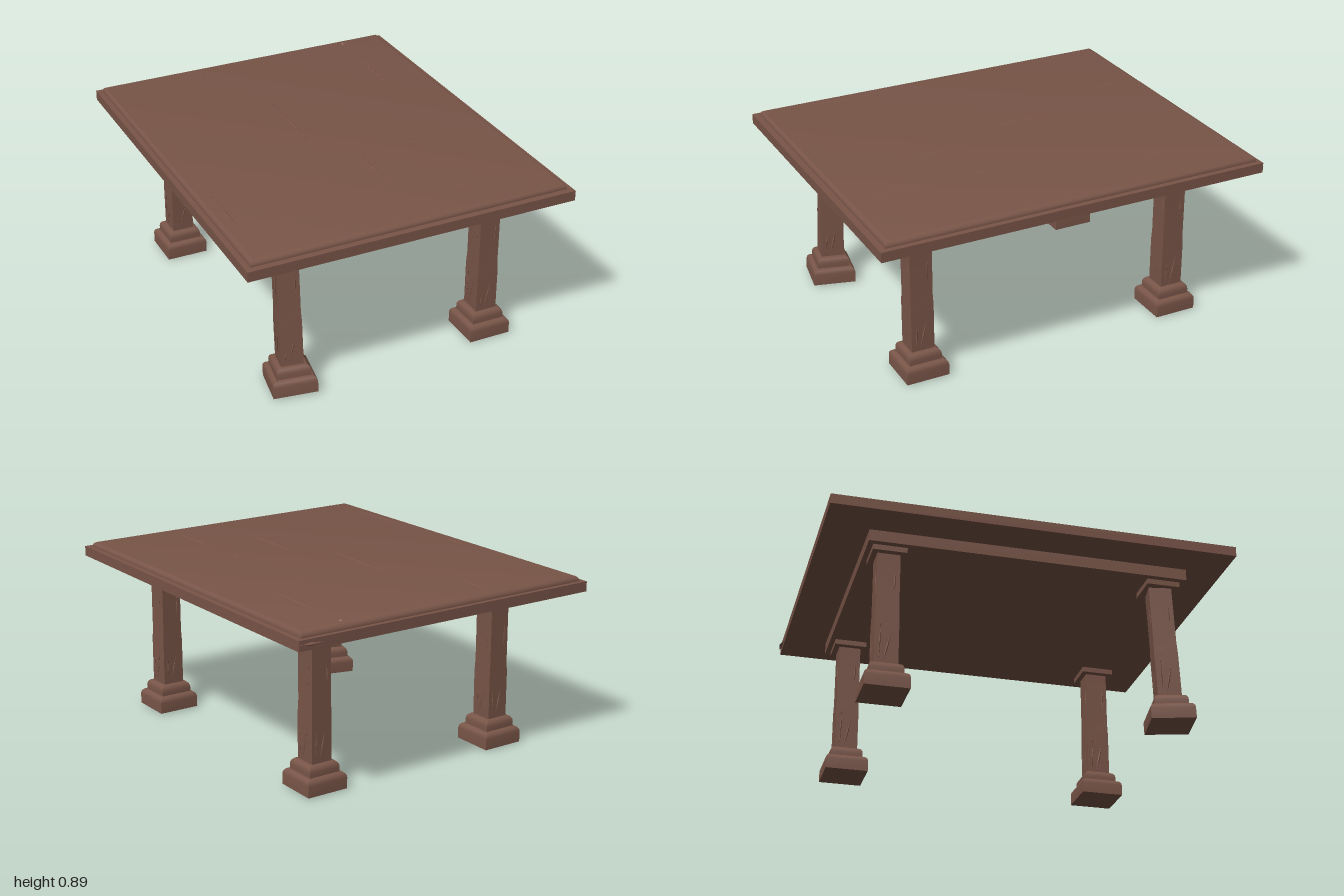
import * as THREE from 'three';
import { toCreasedNormals } from 'three/addons/utils/BufferGeometryUtils.js';

const wood = new THREE.MeshStandardMaterial({ color: 0x795548 });

// Closed rectangular loft; each ring is [halfX, halfZ, y], listed upward
function loft(name, rings) {
  const corners = [[1, 1], [1, -1], [-1, -1], [-1, 1]];
  const pos = [], idx = [];
  rings.forEach(([hx, hz, y]) => corners.forEach(([sx, sz]) => pos.push(sx * hx, y, sz * hz)));
  for (let i = 0; i < rings.length - 1; i++) {
    for (let k = 0; k < 4; k++) {
      const a = i * 4 + k, b = i * 4 + (k + 1) % 4;
      idx.push(a, b, b + 4, a, b + 4, a + 4);
    }
  }
  const t = (rings.length - 1) * 4;
  idx.push(0, 2, 1, 0, 3, 2, t, t + 1, t + 2, t, t + 2, t + 3);
  const geo = new THREE.BufferGeometry();
  geo.setAttribute('position', new THREE.Float32BufferAttribute(pos, 3));
  geo.setIndex(idx);
  const mesh = new THREE.Mesh(toCreasedNormals(geo, 0.6), wood);
  mesh.name = name;
  return mesh;
}

// Thin pointed sliver of raised wood grain between two points
function splinter(a, b, width, height = width) {
  const p = new THREE.Vector3(...a), q = new THREE.Vector3(...b);
  const mesh = new THREE.Mesh(new THREE.OctahedronGeometry(1), wood);
  mesh.name = 'splinter';
  mesh.position.copy(p).lerp(q, 0.5);
  mesh.lookAt(q);
  mesh.scale.set(width, height, p.distanceTo(q) / 2);
  return mesh;
}

// Quarter-round edge from half sizes hx, hz at y up and inward by w and h
function roundEdge(hx, hz, y, w, h, steps = 4) {
  return Array.from({ length: steps + 1 }, (_, i) => {
    const a = i / steps * Math.PI / 2, inset = w * (1 - Math.cos(a));
    return [hx - inset, hz - inset, y + h * Math.sin(a)];
  });
}

// Leg hanging from its top, so that tilting pivots under the cap
function makeLeg() {
  const leg = new THREE.Group();
  leg.name = 'leg';
  leg.add(
    loft('shaft', [[0.055, 0.058, 0.14], [0.055, 0.058, 0.38], [0.052, 0.056, 0.44], [0.052, 0.056, 0.74]]),
    loft('plinth', [[0.108, 0.108, 0.02], ...roundEdge(0.108, 0.108, 0.075, 0.025, 0.028)]),
    loft('baseMoulding', [[0.083, 0.083, 0.1], ...roundEdge(0.083, 0.083, 0.125, 0.024, 0.031)]),
  );
  // worn grain on each face
  for (let i = 0; i < 4; i++) {
    const face = new THREE.Group();
    face.name = 'legGrain';
    face.rotation.y = i * Math.PI / 2;
    face.add(
      splinter([-0.015, 0.16, 0.057], [0.02, 0.32, 0.057], 0.005),
      splinter([-0.035, 0.17, 0.057], [-0.03, 0.25 + 0.04 * i, 0.057], 0.004),
      splinter([0.03, 0.52, 0.056], [0.03, 0.64, 0.056], 0.004),
    );
    leg.add(face);
  }
  leg.children.forEach((c) => { c.position.y -= 0.74; });
  return leg;
}

export function createModel() {
  const table = new THREE.Group();
  table.name = 'table';

  // Top board, raised panel and apron
  const board = loft('topBoard', [[0.83, 0.993, 0.815], [0.83, 0.993, 0.865]]);
  board.position.z = 0.005;
  const panel = loft('topPanel', [[0.803, 0.966, 0.86], ...roundEdge(0.803, 0.966, 0.868, 0.025, 0.024)]);
  const apron = loft('apron', [[0.638, 0.79, 0.757], [0.638, 0.79, 0.82]]);
  apron.position.z = 0.02;
  table.add(board, panel, apron);

  // Legs with caps; the front right one is twisted and leaning
  for (const x of [-0.525, 0.527]) {
    for (const z of [-0.662, 0.702]) {
      const cap = loft('legCap', [[0.083, 0.083, 0.73], [0.083, 0.083, 0.76]]);
      cap.position.set(x, 0, z);
      const leg = makeLeg();
      leg.position.set(x, 0.74, z);
      if (x < 0 && z > 0) leg.rotation.set(-0.045, -0.18, 0.012);
      table.add(cap, leg);
    }
  }

  // Grain lines on the top: x1, z1, x2, z2
  const grain = [
    [-0.735, -0.21, -0.735, 0.03], [-0.735, 0.2, -0.73, 0.87], [-0.28, -0.95, -0.295, -0.64],
    [-0.08, -0.55, -0.1, 0.28], [0.06, 0.08, 0.06, 0.73], [0.36, 0.24, 0.36, 0.32],
    [0.36, 0.45, 0.35, 0.9], [0.565, -0.93, 0.55, -0.21],
  ];
  for (const [x1, z1, x2, z2] of grain) {
    table.add(splinter([x1, 0.891, z1], [x2, 0.891, z2], 0.006, 0.004));
  }

  // Chips along the rims
  table.add(
    splinter([0.7, 0.84, -0.988], [0.83, 0.845, -0.992], 0.012, 0.008),
    splinter([0.69, 0.815, -0.97], [0.77, 0.813, -0.97], 0.008, 0.006),
    splinter([0.56, 0.89, -0.93], [0.57, 0.892, -0.9], 0.008),
    splinter([0.638, 0.79, -0.1], [0.638, 0.795, -0.22], 0.004),
  );
  return table;
}
